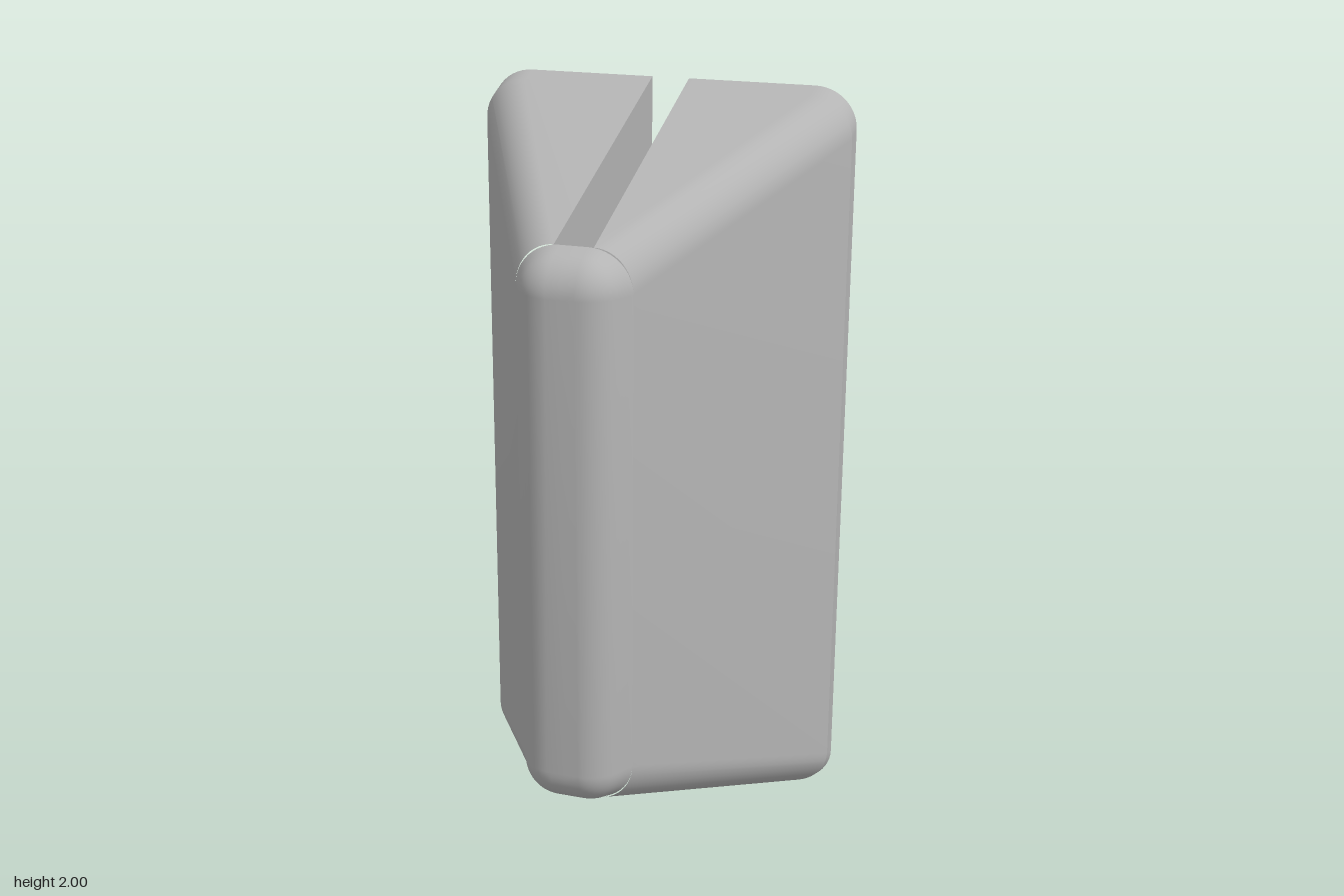
import * as THREE from 'three';
import { toCreasedNormals } from 'three/addons/utils/BufferGeometryUtils.js';

const BACK = -0.425, FLOOR = 0.325, R = 0.1, SLOT = 0.05, STEPS = 12;

// Tapering half width and half height at depth z
const halfWidth = z => Math.min(0.5, 0.5 - 0.503 * (z + 0.375));
const halfHeight = z => 1 - 0.365 * (z - BACK);

// Right-hand half of a rounded rectangle, from bottom to top
function section(z, x0, w, h, cx, cy) {
  const pts = [new THREE.Vector3(x0, 1 - h, z)];
  for (const side of [-1, 1]) {
    for (let i = 0; i <= STEPS; i++) {
      const a = (i / STEPS) * Math.PI / 2 + (side < 0 ? -Math.PI / 2 : 0);
      pts.push(new THREE.Vector3(
        cx + (w - cx) * Math.cos(a), 1 + side * cy + (h - cy) * Math.sin(a), z));
    }
  }
  pts.push(new THREE.Vector3(x0, 1 + h, z));
  return pts;
}

// Section of the slotted body
function bodySection(z) {
  const w = halfWidth(z), h = halfHeight(z);
  return section(z, SLOT, w, h, Math.max(SLOT, Math.min(w - 0.112, 0.4)), h - 0.106);
}

// Section of the rounded nose at angle t of its fillet
function noseSection(t) {
  const s = Math.sin(t), z = FLOOR + R * s, r = R * Math.cos(t);
  const cx = 0.036, cy = 0.62;
  const w = s < 0.449 ? halfWidth(z) : cx + r;
  const h = s < 0.343 ? halfHeight(z) : cy + r;
  return section(z, 0, w, h, cx, cy);
}

function wedgeGeometry() {
  const positions = [];
  // Each triangle is added with its mirror image
  const tri = (a, b, c) => {
    const area = b.clone().sub(a).cross(c.clone().sub(a)).length();
    if (area < 1e-9) return;
    for (const p of [a, b, c]) positions.push(p.x, p.y, p.z);
    for (const p of [a, c, b]) positions.push(-p.x, p.y, p.z);
  };
  const quad = (a, b, c, d) => { tri(a, b, c); tri(a, c, d); };
  const loft = rings => {
    for (let k = 0; k < rings.length - 1; k++) {
      const a = rings[k], b = rings[k + 1];
      for (let i = 0; i < a.length - 1; i++) quad(a[i], a[i + 1], b[i + 1], b[i]);
    }
  };
  const cap = (ring, front) => {
    for (let i = 1; i < ring.length - 1; i++) {
      if (front) tri(ring[0], ring[i], ring[i + 1]);
      else tri(ring[0], ring[i + 1], ring[i]);
    }
  };

  // Outer shell and back faces
  const body = [BACK, -0.375, FLOOR].map(bodySection);
  loft(body);
  cap(body[0], false);

  // Slot walls and slot floor
  const back = body[0], inner = body[2], last = inner.length - 1;
  quad(back[0], inner[0], inner[last], back[last]);
  const bottom = inner[0].clone().setX(0), top = inner[last].clone().setX(0);
  quad(bottom, top, inner[last], inner[0]);

  // Rounded nose and its flat front
  const nose = [];
  for (let i = 0; i <= STEPS; i++) nose.push(noseSection((i / STEPS) * Math.PI / 2));
  loft(nose);
  cap(nose[STEPS], true);

  const geometry = new THREE.BufferGeometry();
  geometry.setAttribute('position', new THREE.Float32BufferAttribute(positions, 3));
  // Enlarged while creasing so that close vertices stay distinct
  geometry.scale(100, 100, 100);
  const creased = toCreasedNormals(geometry, 0.4);
  creased.scale(0.01, 0.01, 0.01);
  return creased;
}

export function createModel() {
  const model = new THREE.Group();
  model.name = 'slottedWedge';
  const grey = new THREE.MeshStandardMaterial({ color: 0xb4b4b4 });
  grey.name = 'grey';
  const wedge = new THREE.Mesh(wedgeGeometry(), grey);
  wedge.name = 'wedgeBody';
  model.add(wedge);
  return model;
}
